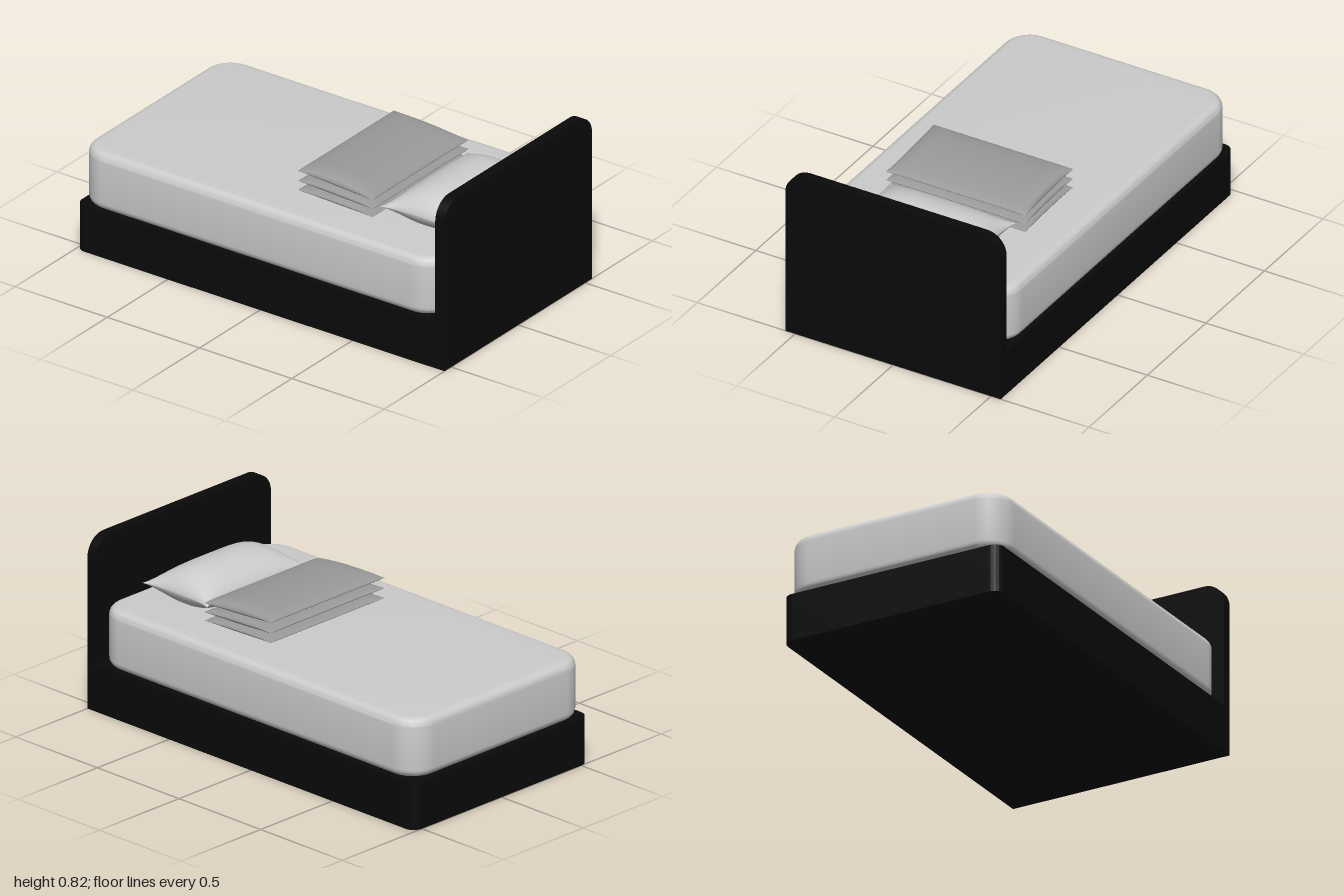
import * as THREE from 'three';
import { mergeGeometries, toCreasedNormals } from 'three/addons/utils/BufferGeometryUtils.js';

const material = (color) => new THREE.MeshStandardMaterial({ color });

// Rectangle with separate radii for the lower and upper pairs of corners
function roundedRect(x0, y0, x1, y1, rLow, rHigh) {
  const s = new THREE.Shape();
  s.moveTo(x0 + rLow, y0);
  s.lineTo(x1 - rLow, y0);
  if (rLow) s.absarc(x1 - rLow, y0 + rLow, rLow, -Math.PI / 2, 0, false);
  s.lineTo(x1, y1 - rHigh);
  if (rHigh) s.absarc(x1 - rHigh, y1 - rHigh, rHigh, 0, Math.PI / 2, false);
  s.lineTo(x0 + rHigh, y1);
  if (rHigh) s.absarc(x0 + rHigh, y1 - rHigh, rHigh, Math.PI / 2, Math.PI, false);
  s.lineTo(x0, y0 + rLow);
  if (rLow) s.absarc(x0 + rLow, y0 + rLow, rLow, Math.PI, Math.PI * 1.5, false);
  return s;
}

function extrude(shape, depth, bevel = 0) {
  const g = new THREE.ExtrudeGeometry(shape, {
    depth: depth - 2 * bevel, curveSegments: 14, bevelEnabled: bevel > 0,
    bevelSize: bevel, bevelThickness: bevel, bevelOffset: -bevel, bevelSegments: 6,
  });
  g.translate(0, 0, bevel);
  return toCreasedNormals(g, 0.6);
}

// Stuffed cloth: two sheets joined at a rim, bulging up and down, sides drawn in between the corners
function stuffed({ hx, hz, up, down, pinchX, pinchZ, endPower, puff, flat = 1 }) {
  const sheets = [1, -1].map((side) => {
    const g = new THREE.PlaneGeometry(2, 2, 40, 40);
    g.rotateX(-side * Math.PI / 2);
    const p = g.attributes.position;
    for (let i = 0; i < p.count; i++) {
      const u = Math.sin(p.getX(i) * Math.PI / 2);
      const v = Math.sin(p.getZ(i) * Math.PI / 2);
      const bulge = Math.pow(Math.max(0, (1 - Math.abs(u) ** endPower) * (1 - v * v)), puff);
      const y = side > 0 ? up * bulge : -down * Math.min(1, bulge * flat);
      p.setXYZ(i, hx * u * (1 - pinchX * (1 - v ** 4)), y, hz * v * (1 - pinchZ * (1 - u ** 6)));
    }
    g.computeVertexNormals();
    return g;
  });
  return mergeGeometries(sheets);
}

export function createModel() {
  const model = new THREE.Group();
  const black = material(0x0a0a0a);
  const add = (name, geometry, mat, parent = model) => {
    const mesh = new THREE.Mesh(geometry, mat);
    mesh.name = name;
    parent.add(mesh);
    return mesh;
  };

  // Bed base, rounded at the foot end (plan drawn with z as the shape's y)
  const base = extrude(roundedRect(-0.55, -0.95, 0.55, 1, 0, 0.05), 0.225);
  base.rotateX(-Math.PI / 2);
  add('base', base, black);

  // Headboard with rounded top corners
  const board = extrude(roundedRect(-0.55, 0, 0.55, 0.82, 0, 0.1), 0.05);
  add('headboard', board, black).position.z = 0.95;

  // Mattress with soft edges
  const mattress = extrude(roundedRect(-0.547, -0.945, 0.547, 0.993, 0.13, 0.13), 0.28, 0.04);
  mattress.rotateX(-Math.PI / 2);
  add('mattress', mattress, material(0xcccccc)).position.y = 0.226;

  // Pillow
  const pillow = stuffed({
    hx: 0.325, hz: 0.2, up: 0.097, down: 0.058,
    pinchX: 0.06, pinchZ: 0.12, endPower: 4, puff: 0.65, flat: 1.7,
  });
  add('pillow', pillow, material(0xdcdcdc)).position.set(0, 0.563, 0.687);

  // Folded blanket: three soft layers, each tilted a little more
  const blanket = new THREE.Group();
  blanket.name = 'foldedBlanket';
  model.add(blanket);
  const cloth = material(0x999999);
  const layers = [
    { y: 0.523, z: 0.265, up: 0.022, down: 0.018, tilt: 0.03 },
    { y: 0.566, z: 0.267, up: 0.024, down: 0.022, tilt: 0.045 },
    { y: 0.612, z: 0.266, up: 0.035, down: 0.02, tilt: 0.06 },
  ];
  layers.forEach(({ y, z, up, down, tilt }, i) => {
    const pad = stuffed({
      hx: 0.358, hz: 0.203, up, down,
      pinchX: 0.025, pinchZ: 0.015, endPower: 12, puff: 0.5,
    });
    const mesh = add('blanketLayer' + (i + 1), pad, cloth, blanket);
    mesh.position.set(0.003, y, z);
    mesh.rotation.x = tilt;
  });

  return model;
}
